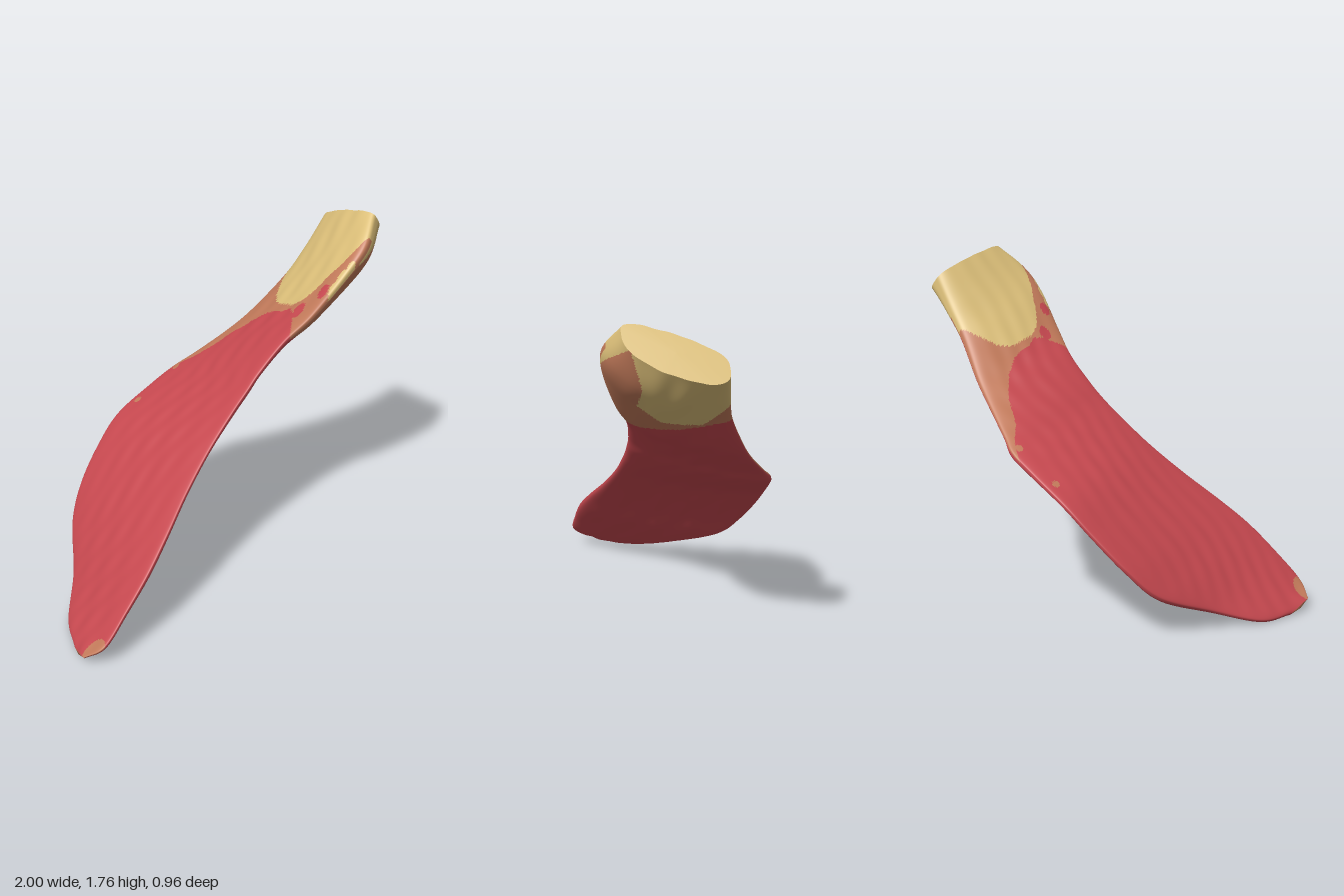
import * as THREE from 'three';

const SEGS = 230, RING = 152;
const UP = new THREE.Vector3(-0.64, 0.77, 0); // thickness direction of the slanted sheet

// Stations from the low tip to the cut tendon end:
// front edge x,y,z | back edge x,y,z | bulge above, bulge below, forward skew of the lower bulge
const STATIONS = [
  [-1.0, 0.06, 0.38, -0.957, 0.015, 0.25, 0.012, 0.015, 0],
  [-0.93, 0.125, 0.45, -0.865, 0.022, 0.08, 0.02, 0.028, 0],
  [-0.8, 0.25, 0.45, -0.685, 0.105, -0.11, 0.024, 0.038, 0],
  [-0.65, 0.385, 0.435, -0.515, 0.215, -0.335, 0.026, 0.055, 0],
  [-0.5, 0.505, 0.395, -0.385, 0.35, -0.425, 0.024, 0.052, 0],
  [-0.33, 0.635, 0.34, -0.23, 0.505, -0.467, 0.022, 0.047, 0],
  [-0.15, 0.775, 0.3, -0.08, 0.64, -0.475, 0.022, 0.045, 0],
  [0.02, 0.915, 0.285, 0.12, 0.762, -0.435, 0.022, 0.058, 0],
  [0.12, 1.0, 0.285, 0.245, 0.835, -0.4, 0.024, 0.058, 0],
  [0.2, 1.075, 0.29, 0.33, 0.9, -0.34, 0.028, 0.05, 0.2],
  [0.33, 1.2, 0.32, 0.48, 1.02, -0.24, 0.034, 0.06, 0.3],
  [0.45, 1.325, 0.39, 0.6, 1.13, -0.165, 0.045, 0.08, 0.4],
  [0.6, 1.51, 0.46, 0.75, 1.31, -0.07, 0.062, 0.105, 0.45],
  [0.72, 1.625, 0.475, 0.86, 1.45, -0.03, 0.075, 0.115, 0.3],
  [0.845, 1.735, 0.415, 0.96, 1.6, 0.0, 0.075, 0.115, 0],
];

const rail = (a, b, c) => new THREE.CatmullRomCurve3(
  STATIONS.map(s => new THREE.Vector3(s[a], s[b], s[c])), false, 'catmullrom', 0.5);
const frontRail = rail(0, 1, 2), backRail = rail(3, 4, 5), bulge = rail(6, 7, 8);

const RED = 0, BLEND = 1, TENDON = 2;

// Small flecks on the upper side: x, z, radius, tissue
const FLECKS = [[-0.97, 0.41, 0.055, BLEND], [0, -0.41, 0.018, BLEND], [0.23, -0.36, 0.018, BLEND],
  [0.52, 0.38, 0.025, RED], [0.46, 0.28, 0.03, RED],
  [0.53, 0.435, 0.025, TENDON], [0.57, 0.455, 0.03, TENDON], [0.61, 0.47, 0.025, TENDON]];

// Which tissue a point of the surface belongs to
function tissue(p, upper) {
  const { x, y, z } = p;
  if (upper) {
    for (const [fx, fz, r, m] of FLECKS) if (Math.hypot(x - fx, z - fz) < r) return m;
    const wave = 0.01 * Math.sin(z * 31);
    const redEnd = 0.49 + Math.min(0, z + 0.05) * 0.8 - Math.max(0, z - 0.2) + wave;
    if (x < redEnd) return RED;
    const e = ((x - 0.85) / 0.35) ** 2 + ((z - 0.2) / 0.27) ** 2;
    return e < 1 + 4 * wave || x > 0.8 ? TENDON : BLEND;
  }
  if (y < 1.22 + (0.33 - z) * 0.25) return RED;
  const inner = z < 0.335 + Math.max(0, y - 1.5) * 0.3;
  const beyond = y > 1.3 + Math.max(0, z - 0.22) * 0.8 + 1.2 * Math.max(0, 0.06 - z);
  const rim = x > 0.66 && y > 1.57 + (x - 0.68) * 0.5;
  return (inner && beyond) || rim ? TENDON : BLEND;
}

// One point of the lens-shaped section
function sectionPoint(t, j) {
  const a = (j / RING) * Math.PI * 2, s = Math.sin(a), c = Math.cos(a);
  const p = frontRail.getPoint(t).lerp(backRail.getPoint(t), (1 - c) / 2);
  const b = bulge.getPoint(t);
  let h = s > 0 ? b.x * s ** 0.55 : -b.y * (1 + b.z * c) * Math.abs(s) ** (0.7 + b.z);
  // Faint fibre grooves running obliquely along the belly
  h += 0.0016 * s * s * (Math.sin(p.z * 38 + t * 45) + Math.sin(p.z * 61 - t * 33 + 2 * Math.sin(t * 20)));
  return p.addScaledVector(UP, h);
}

function bodyGeometry() {
  const pts = [], lists = [[], [], []];
  for (let i = 0; i <= SEGS; i++)
    for (let j = 0; j < RING; j++) pts.push(sectionPoint(i / SEGS, j));
  const centre = new THREE.Vector3();
  const addFace = (a, b, c, upper) => {
    centre.copy(pts[a]).add(pts[b]).add(pts[c]).divideScalar(3);
    lists[tissue(centre, upper)].push(a, b, c);
  };
  for (let i = 0; i < SEGS; i++) for (let j = 0; j < RING; j++) {
    const k = (j + 1) % RING, upper = j < RING / 2;
    const a = i * RING + j, b = a + RING, c = i * RING + k, d = c + RING;
    addFace(a, b, c, upper);
    addFace(b, d, c, upper);
  }
  const geo = new THREE.BufferGeometry().setFromPoints(pts);
  geo.setIndex(lists.flat());
  let start = 0;
  lists.forEach((list, m) => {
    geo.addGroup(start, list.length, m);
    start += list.length;
  });
  geo.computeVertexNormals();
  return geo;
}

// Closing face at either end; dome pushes its middle outward
function capGeometry(t, dome) {
  const pts = [], index = [], mid = new THREE.Vector3();
  for (let j = 0; j < RING; j++) {
    pts.push(sectionPoint(t, j));
    mid.addScaledVector(pts[j], 1 / RING);
  }
  pts.push(mid.addScaledVector(new THREE.Vector3(0.77, 0.64, 0), dome));
  for (let j = 0; j < RING; j++) {
    const k = (j + 1) % RING;
    if (t > 0.5) index.push(RING, k, j); else index.push(RING, j, k);
  }
  const geo = new THREE.BufferGeometry().setFromPoints(pts);
  geo.setIndex(index);
  geo.computeVertexNormals();
  return geo;
}

export function createModel() {
  const material = (name, color) => {
    const m = new THREE.MeshStandardMaterial({ color });
    m.name = name;
    return m;
  };
  const red = material('muscle red', 0xc6484f);
  const blend = material('transition orange', 0xc27a5a);
  const cream = material('tendon cream', 0xdcbf79);

  const group = new THREE.Group();
  group.name = 'muscle';
  const add = (name, geo, mat) => {
    const mesh = new THREE.Mesh(geo, mat);
    mesh.name = name;
    group.add(mesh);
  };
  add('muscleBellyAndTendon', bodyGeometry(), [red, blend, cream]);
  add('lowerTip', capGeometry(0, -0.01), blend);
  add('tendonEnd', capGeometry(1, 0.006), cream);
  return group;
}
